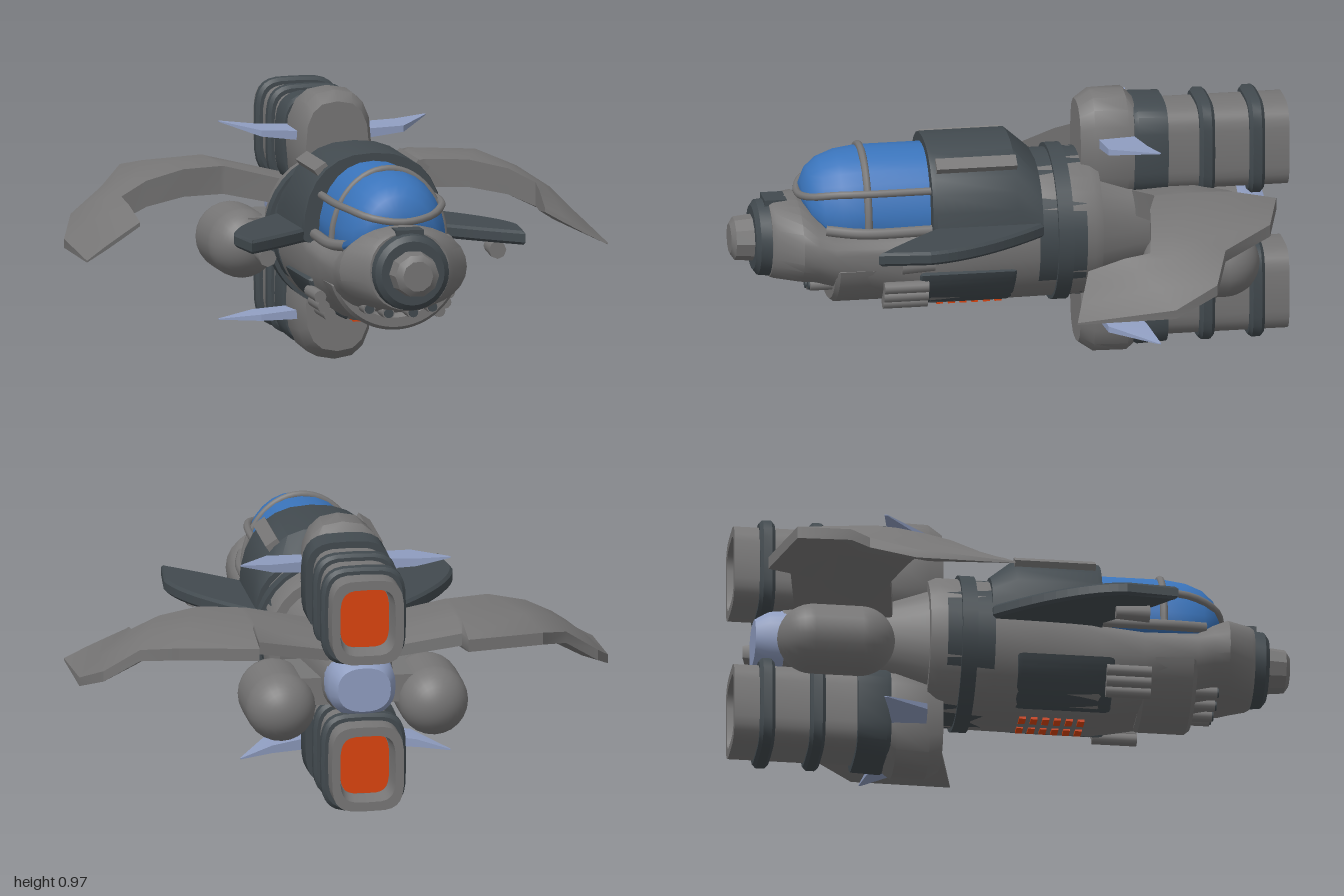
import * as THREE from 'three';
import { toCreasedNormals } from 'three/addons/utils/BufferGeometryUtils.js';

const V = (x, y, z) => new THREE.Vector3(x, y, z);
const mat = (name, color) => {
  const m = new THREE.MeshStandardMaterial({ color });
  m.name = name;
  return m;
};

// Skins a list of closed loops and caps both ends
function loft(loops, crease = 0.6) {
  const n = loops[0].length, pos = [], idx = [];
  loops.forEach(l => l.forEach(p => pos.push(p.x, p.y, p.z)));
  for (let i = 0; i < loops.length - 1; i++) {
    for (let j = 0; j < n; j++) {
      const a = i * n + j, b = i * n + (j + 1) % n;
      idx.push(a, a + n, b, b, a + n, b + n);
    }
  }
  [0, loops.length - 1].forEach((s, end) => {
    const c = loops[s].reduce((t, p) => t.add(p), V(0, 0, 0)).divideScalar(n);
    const k = pos.length / 3;
    pos.push(c.x, c.y, c.z);
    for (let j = 0; j < n; j++) {
      const a = s * n + j, b = s * n + (j + 1) % n;
      idx.push(k, end ? b : a, end ? a : b);
    }
  });
  const g = new THREE.BufferGeometry();
  g.setAttribute('position', new THREE.Float32BufferAttribute(pos, 3));
  g.setIndex(idx);
  return toCreasedNormals(g, crease);
}

// Superellipse section: z, half width, centre height, reach up and down, squareness
function ring([z, w, yc, up, down, e = 2.4], count = 28) {
  return Array.from({ length: count }, (_, i) => {
    const a = (i / count) * Math.PI * 2, c = Math.cos(a), s = Math.sin(a);
    const f = v => Math.sign(v) * Math.abs(v) ** (2 / e);
    return V(w * f(c), yc + (s > 0 ? up : down) * f(s), z);
  });
}
// Rows run from front to back
const hull = (rows, crease, count) => loft(rows.map(r => ring(r, count)), crease);

// Copy reflected in x, with the corner order restored
function mirrored(geo) {
  const g = geo.index ? geo.toNonIndexed() : geo.clone();
  g.scale(-1, 1, 1);
  for (const k of ['position', 'normal']) {
    const a = g.attributes[k].array;
    for (let i = 0; i < a.length; i += 9)
      for (let j = 0; j < 3; j++) [a[i + 3 + j], a[i + 6 + j]] = [a[i + 6 + j], a[i + 3 + j]];
  }
  return g;
}

export function createModel() {
  const grey = mat('hull grey', 0x777676), dark = mat('dark slate', 0x424a4f);
  const blue = mat('canopy blue', 0x3a74bb), pale = mat('pale steel blue', 0x8f9dc0);
  const orange = mat('engine orange', 0xdb440e);
  const model = new THREE.Group();
  model.name = 'spacecraft';
  const add = (name, geo, m, parent = model) => {
    const mesh = new THREE.Mesh(geo, m);
    mesh.name = name;
    parent.add(mesh);
  };
  const pair = (name, geo, m, parent) => {
    add(name + 'Left', geo, m, parent);
    add(name + 'Right', mirrored(geo), m, parent);
  };
  const box = (w, h, d, x, y, z) => new THREE.BoxGeometry(w, h, d).translate(x, y, z);
  const tube = (pts, r) => new THREE.TubeGeometry(new THREE.CatmullRomCurve3(pts), 32, r, 8);
  const rod = (r1, r2, len, x, y, z, sides = 12) =>
    new THREE.CylinderGeometry(r1, r2, len, sides).rotateX(Math.PI / 2).translate(x, y, z);

  // Fuselage from nose to rear shoulder
  add('fuselage', hull([
    [0.865, 0.145, 0.485, 0.14, 0.14, 2.2], [0.85, 0.165, 0.485, 0.147, 0.145, 2.2],
    [0.765, 0.233, 0.48, 0.158, 0.15, 2.1], [0.71, 0.235, 0.475, 0.13, 0.15, 2.2],
    [0.65, 0.235, 0.47, 0.085, 0.16], [0.46, 0.238, 0.47, 0.075, 0.21],
    [0.3, 0.245, 0.48, 0.08, 0.255],
    [0.1, 0.255, 0.49, 0.2, 0.268, 2.2], [-0.08, 0.26, 0.49, 0.26, 0.268, 2.1],
    [-0.28, 0.262, 0.49, 0.262, 0.265, 2.1], [-0.31, 0.25, 0.49, 0.25, 0.25, 2.1],
  ]), grey);
  add('rearCollar', rod(0.265, 0.265, 0.17, 0, 0.488, -0.165, 36), dark);
  add('rearCollarRing', rod(0.28, 0.28, 0.055, 0, 0.488, -0.172, 36), dark);

  // Nose collar and knob
  add('noseCollar', hull([
    [0.92, 0.115, 0.485, 0.115, 0.115, 2], [0.905, 0.135, 0.485, 0.135, 0.135, 2],
    [0.85, 0.14, 0.485, 0.142, 0.142, 2],
  ]), dark);
  add('noseKnob', hull([
    [1, 0.055, 0.485, 0.055, 0.055, 2], [0.985, 0.08, 0.485, 0.077, 0.077, 2],
    [0.9, 0.09, 0.485, 0.085, 0.085, 2],
  ], 0.4, 10), grey);
  add('noseSight', box(0.1, 0.04, 0.08, 0, 0.615, 0.84), dark);

  // Hood behind the canopy, with side ribs
  add('hood', hull([
    [0.305, 0.255, 0.53, 0.3, 0.03], [0.29, 0.26, 0.53, 0.302, 0.03],
    [0, 0.262, 0.53, 0.302, 0.03], [-0.09, 0.262, 0.53, 0.22, 0.03],
  ]), dark);
  const rib = new THREE.BoxGeometry(0.05, 0.03, 0.29).rotateZ(-0.6).translate(0.182, 0.772, 0.14);
  pair('hoodRib', rib, grey);

  // Canopy and its frame
  add('canopy', hull([
    [0.745, 0.06, 0.64, 0.045, 0.03, 2], [0.722, 0.125, 0.6, 0.135, 0.03, 2],
    [0.68, 0.165, 0.565, 0.205, 0.03, 2.1], [0.62, 0.19, 0.545, 0.246, 0.03, 2.2],
    [0.54, 0.2, 0.54, 0.262, 0.03, 2.2], [0.3, 0.2, 0.54, 0.262, 0.03, 2.2],
  ], 1.2), blue);
  const hoop = Array.from({ length: 13 }, (_, i) => {
    const a = (i / 12) * Math.PI;
    return V(0.205 * Math.cos(a), 0.54 + 0.265 * Math.sin(a), 0.53);
  });
  add('canopyHoop', tube(hoop, 0.014), grey);
  const railHalf = [[0.19, 0.685, 0.3], [0.19, 0.685, 0.53], [0.168, 0.68, 0.64], [0.11, 0.66, 0.725]];
  add('canopyRail', tube([
    ...railHalf.map(([x, y, z]) => V(x, y, z)), V(0, 0.645, 0.755),
    ...railHalf.reverse().map(([x, y, z]) => V(-x, y, z)),
  ], 0.014), grey);
  pair('canopySill', tube([V(0.213, 0.545, 0.3), V(0.213, 0.545, 0.55), V(0.185, 0.555, 0.68)], 0.02), grey);

  // Forward dark winglets with small guns below
  const winglet = new THREE.Shape();
  winglet.moveTo(0.2, -0.1);
  winglet.lineTo(0.27, -0.09);
  winglet.quadraticCurveTo(0.5, 0.17, 0.52, 0.36);
  winglet.lineTo(0.5, 0.545);
  winglet.quadraticCurveTo(0.4, 0.46, 0.25, 0.3);
  winglet.lineTo(0.2, 0.3);
  const wingletGeo = new THREE.ExtrudeGeometry(winglet, { depth: 0.03, bevelSize: 0.01, bevelThickness: 0.01, bevelOffset: -0.01, bevelSegments: 1 });
  pair('frontWinglet', wingletGeo.rotateX(Math.PI / 2).translate(0, 0.555, 0), dark);
  pair('wingletGun', rod(0.032, 0.024, 0.12, 0.42, 0.487, 0.39, 8), grey);

  // Curved chin guard with its guns
  const chin = new THREE.Shape();
  chin.absarc(0, 0.485, 0.243, Math.PI * 1.1, Math.PI * 1.9, false);
  chin.absarc(0, 0.485, 0.185, Math.PI * 1.9, Math.PI * 1.1, true);
  const chinGeo = new THREE.ExtrudeGeometry(chin, { depth: 0.17, bevelSize: 0.012, bevelThickness: 0.015, bevelOffset: -0.012, bevelSegments: 1, curveSegments: 18 });
  add('chinGuard', toCreasedNormals(chinGeo.translate(0, 0, 0.465), 0.5), grey);
  for (const x of [0.045, 0.115]) {
    pair('chinGun', rod(0.022, 0.022, 0.12, x, 0.305 + x * 0.25, 0.67), grey);
    pair('chinMuzzle', rod(0.017, 0.017, 0.008, x, 0.305 + x * 0.25, 0.732), dark);
  }
  for (const [x, y] of [[0.235, 0.345], [0.222, 0.31], [0.2, 0.28]])
    pair('sideGun', rod(0.022, 0.022, 0.16, x, y, 0.4), grey);

  // Dark lower flank armour, curved around the hull
  const flank = new THREE.Shape();
  const a0 = -1.18, a1 = -0.38;
  flank.absarc(0, 0.49, 0.272, a0, a1, false);
  flank.absarc(0, 0.49, 0.22, a1, a0, true);
  const flankGeo = new THREE.ExtrudeGeometry(flank, { depth: 0.31, bevelSize: 0.012, bevelThickness: 0.02, bevelOffset: -0.012, bevelSegments: 2, curveSegments: 10 });
  pair('flankArmour', toCreasedNormals(flankGeo.translate(0, 0, 0.02), 0.6), dark);

  // Rows of belly vents
  for (let i = 0; i < 6; i++)
    pair('bellyVent', box(0.045, 0.009, 0.024, 0.04, 0.223, 0.04 + i * 0.042), orange);

  // Core between the engines
  add('rearCore', hull([
    [-0.28, 0.22, 0.486, 0.22, 0.22], [-0.44, 0.17, 0.486, 0.17, 0.17], [-0.82, 0.12, 0.486, 0.12, 0.12],
  ]), grey);
  add('rearHub', hull([
    [-0.78, 0.125, 0.486, 0.12, 0.12], [-0.87, 0.12, 0.486, 0.11, 0.11], [-0.92, 0.095, 0.486, 0.08, 0.08],
  ], 1), pale);

  // Engine, used upright on top and turned over below
  for (const top of [true, false]) {
    const engine = new THREE.Group();
    engine.name = top ? 'upperEngine' : 'lowerEngine';
    if (!top) {
      engine.rotation.z = Math.PI;
      engine.position.y = 0.972;
    }
    model.add(engine);
    add('engineCowl', hull([
      [-0.25, 0.115, 0.77, 0.165, 0.17, 2.6], [-0.3, 0.135, 0.77, 0.2, 0.19, 2.6],
      [-0.42, 0.148, 0.77, 0.2, 0.2, 2.6], [-0.46, 0.14, 0.77, 0.16, 0.18, 3],
    ], 0.6, 16), grey, engine);
    add('engineSleeve', hull([
      [-0.44, 0.15, 0.765, 0.165, 0.165, 3.5], [-0.455, 0.156, 0.765, 0.175, 0.17, 3.5],
      [-0.56, 0.156, 0.765, 0.17, 0.17, 3.5],
    ]), dark, engine);
    const c = 0.756;
    add('engineNozzle', hull([
      [-0.54, 0.13, c, 0.155, 0.155, 4], [-1, 0.13, c, 0.155, 0.155, 4],
      [-1, 0.1, c, 0.122, 0.122, 4], [-0.916, 0.09, c, 0.112, 0.112, 4],
    ]), grey, engine);
    add('engineGlow', hull([
      [-0.916, 0.088, c, 0.11, 0.11, 4], [-0.922, 0.088, c, 0.11, 0.11, 4],
    ]), orange, engine);
    for (const z of [-0.68, -0.86])
      add('engineBand', hull([
        [z + 0.005, 0.142, c, 0.168, 0.168, 4], [z - 0.007, 0.153, c, 0.179, 0.179, 4],
        [z - 0.038, 0.153, c, 0.179, 0.179, 4], [z - 0.05, 0.142, c, 0.168, 0.168, 4],
      ]), dark, engine);
    // Swept fin: x, front z, rear z, height, half thickness
    const fin = [[0.1, -0.31, -0.43, 0.81, 0.022], [0.26, -0.325, -0.465, 0.82, 0.014], [0.378, -0.484, -0.494, 0.842, 0.002]];
    pair('engineFin', loft(fin.map(([x, z0, z1, y, t]) =>
      [V(x, y - t, z0), V(x, y + t * 0.6, z0), V(x, y + t, z1), V(x, y - t, z1)]), 0.2), pale, engine);
  }

  // Fuel tanks under the main wings
  const tank = new THREE.CapsuleGeometry(0.125, 0.17, 10, 24).rotateX(Math.PI / 2).translate(0.275, 0.39, -0.655);
  pair('fuelTank', tank, grey);
  pair('tankMount', box(0.2, 0.1, 0.26, 0.17, 0.44, -0.62), grey);

  // Main wings: front edge x z, rear edge x z, their heights, half thickness
  const stations = [
    [0.1, -0.43, 0.1, -0.78, 0.575, 0.58, 0.05], [0.36, -0.47, 0.366, -0.83, 0.632, 0.632, 0.056],
    [0.376, -0.47, 0.376, -0.91, 0.633, 0.63, 0.056],
    [0.52, -0.43, 0.656, -0.84, 0.633, 0.625, 0.055], [0.66, -0.41, 0.767, -0.66, 0.602, 0.575, 0.052],
    [0.757, -0.39, 0.89, -0.61, 0.555, 0.49, 0.048], [0.75, -0.3, 0.952, -0.45, 0.545, 0.428, 0.04],
    [0.74, -0.17, 0.952, -0.095, 0.53, 0.413, 0.008],
  ];
  const outline = [[0, 0.9], [0.3, 1], [0.65, 0.95], [1, 0.4], [1, -0.4], [0.65, -0.9], [0.3, -1], [0, -0.9]];
  pair('mainWing', loft(stations.map(([x0, z0, x1, z1, y0, y1, t]) => outline.map(([u, v]) =>
    V(x0 + (x1 - x0) * u, y0 + (y1 - y0) * u + t * v, z0 + (z1 - z0) * u))), 0.7), grey);

  return model;
}
